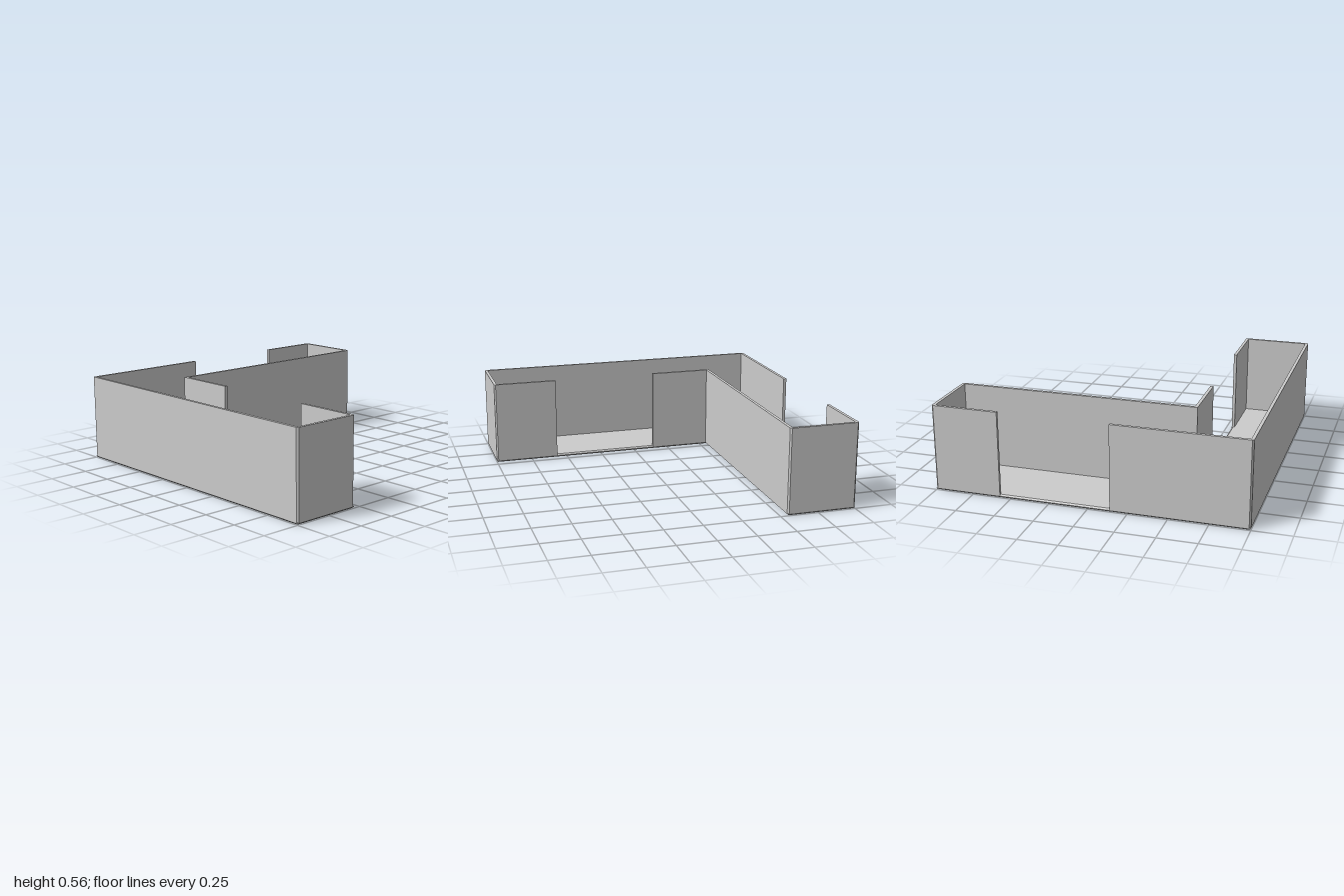
import * as THREE from 'three';

const T = 0.02;      // wall and floor thickness
const C = 0.01;      // corner chamfer
const H = 0.56;      // overall height
const IN = -0.545;   // inner faces of the L
const GAP = [-0.14, 0.57]; // doorway limits along each leg

const material = new THREE.MeshStandardMaterial({ color: 0xcccccc, flatShading: true });

// Extrude a plan outline of [x, z] points upward from y0
function slab(name, points, y0, depth, bevel = {}) {
  const shape = new THREE.Shape(points.map(([x, z]) => new THREE.Vector2(x, -z)));
  const geo = new THREE.ExtrudeGeometry(shape, { depth, bevelEnabled: false, ...bevel });
  geo.rotateX(-Math.PI / 2).translate(0, y0, 0);
  const mesh = new THREE.Mesh(geo, material);
  mesh.name = name;
  return mesh;
}

export function createModel() {
  const group = new THREE.Group();
  group.name = 'lShapedEnclosure';
  const [a, b] = GAP;

  // L-shaped floor with bevelled edges
  group.add(slab('floor',
    [[-1, -1], [1, -1], [1, IN], [IN, IN], [IN, 1], [-1, 1]],
    0.009, 0.002,
    { bevelEnabled: true, bevelSize: C, bevelOffset: -C, bevelThickness: 0.009, bevelSegments: 1 }));

  // Wall run around the outer corner, from the back doorway to the inner doorway
  group.add(slab('outerWall', [
    [a, -1], [-1 + C, -1], [-1, -1 + C], [-1, 1 - C], [-1 + C, 1],
    [IN - C, 1], [IN, 1 - C], [IN, b], [IN - T, b], [IN - T, 1 - T],
    [-1 + T, 1 - T], [-1 + T, -1 + T], [a, -1 + T],
  ], 0.011, H - 0.011));

  // Wall run around the end of the back leg and the inside corner
  group.add(slab('innerWall', [
    [b, -1], [1 - C, -1], [1, -1 + C], [1, IN - C], [1 - C, IN],
    [IN, IN], [IN, a], [IN - T, a], [IN - T, IN - T],
    [1 - T, IN - T], [1 - T, -1 + T], [b, -1 + T],
  ], 0.011, H - 0.011));

  return group;
}
